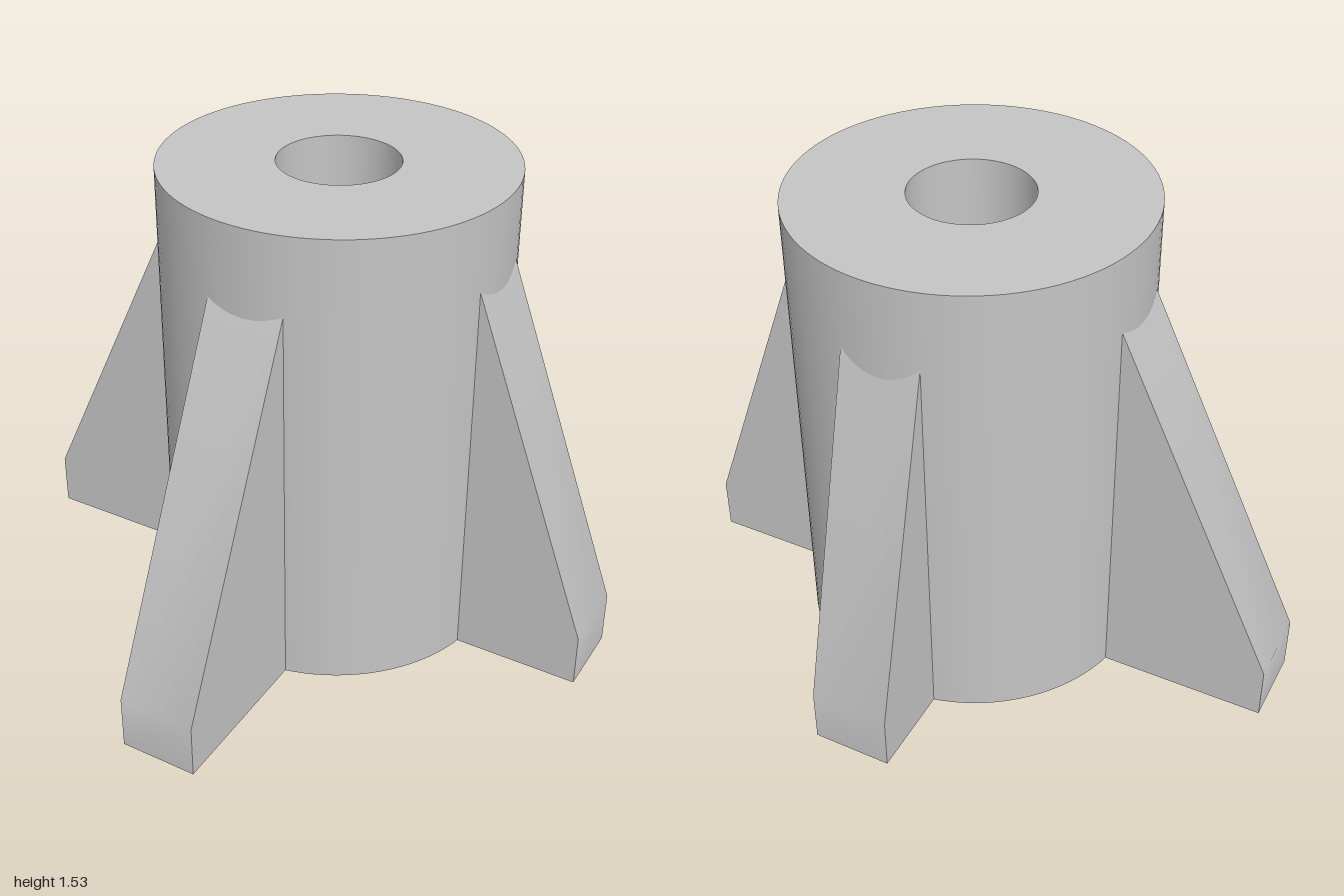
import * as THREE from 'three';
import { toCreasedNormals } from 'three/addons/utils/BufferGeometryUtils.js';

const CENTRE_X = 0.06, CENTRE_Z = -0.12;
const RADIUS = 0.55, BORE = 0.19, HEIGHT = 1.53;
const FIN_WIDTH = 0.25, FOOT_HEIGHT = 0.175, FIN_TOP = 1.28;

export function createModel() {
  const model = new THREE.Group();
  model.name = 'finnedSpacer';
  const grey = new THREE.MeshStandardMaterial({ color: 0xc4c4c4 });
  grey.name = 'light grey';

  function addPart(name, geometry, angle = 0) {
    const mesh = new THREE.Mesh(toCreasedNormals(geometry, Math.PI / 6), grey);
    mesh.name = name;
    mesh.position.set(CENTRE_X, 0, CENTRE_Z);
    mesh.rotation.y = angle;
    model.add(mesh);
  }

  // Thick tube with a through bore
  const profile = [[BORE, 0], [RADIUS, 0], [RADIUS, HEIGHT], [BORE, HEIGHT], [BORE, 0]]
    .map(([r, y]) => new THREE.Vector2(r, y));
  addPart('tube', new THREE.LatheGeometry(profile, 96));

  // Sloped support fin, reaching out along +x and meeting the tube wall
  function finGeometry(reach) {
    const wall = Math.sqrt(RADIUS ** 2 - (FIN_WIDTH / 2) ** 2);
    const inner = wall - 0.01;
    const slope = (FIN_TOP - FOOT_HEIGHT) / (reach - wall);
    const shape = new THREE.Shape([
      new THREE.Vector2(inner, 0),
      new THREE.Vector2(reach, 0),
      new THREE.Vector2(reach, FOOT_HEIGHT),
      new THREE.Vector2(inner, FIN_TOP + 0.01 * slope),
    ]);
    const geometry = new THREE.ExtrudeGeometry(shape, { depth: FIN_WIDTH, bevelEnabled: false });
    return geometry.translate(0, 0, -FIN_WIDTH / 2);
  }

  // Four fins of differing reach
  const fins = [['leftFin', 0.94], ['backFin', 0.825], ['rightFin', 1.06], ['frontFin', 1.065]];
  fins.forEach(([name, reach], i) => addPart(name, finGeometry(reach), i * Math.PI / 2));

  return model;
}
